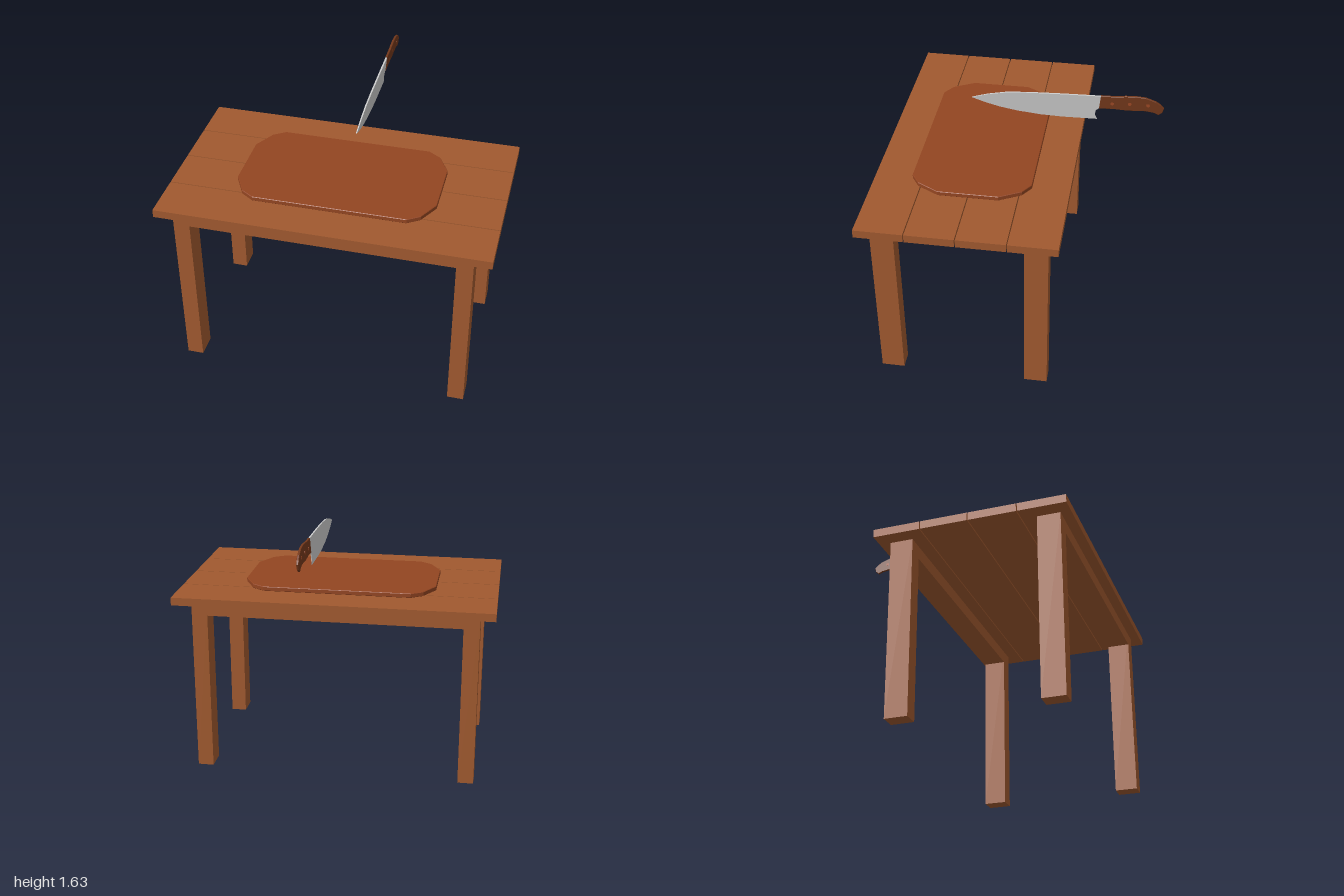
import * as THREE from 'three';

const mat = (color) => new THREE.MeshStandardMaterial({ color, flatShading: true });
const WOOD = mat(0xa0592f), BOARD = mat(0x934521), HANDLE = mat(0x74381b), RIVET = mat(0xa04a26), STEEL = mat(0xcccccc);

function add(parent, name, geometry, material, x = 0, y = 0, z = 0) {
  const mesh = new THREE.Mesh(geometry, material);
  mesh.name = name;
  mesh.position.set(x, y, z);
  parent.add(mesh);
  return mesh;
}

// Extrudes an outline, centred on its thickness
function slab(points, depth, bevel = 0) {
  const shape = new THREE.Shape(points.map(([a, b]) => new THREE.Vector2(a, b)));
  const geometry = new THREE.ExtrudeGeometry(shape, {
    depth: depth - 2 * bevel, bevelEnabled: bevel > 0, bevelSize: bevel,
    bevelThickness: bevel, bevelOffset: -bevel, bevelSegments: 1,
  });
  return geometry.translate(0, 0, -depth / 2 + bevel);
}

function buildTable() {
  const table = new THREE.Group();
  table.name = 'table';
  // Four planks with narrow gaps
  for (let i = 0; i < 4; i++) {
    add(table, 'plank', new THREE.BoxGeometry(2, 0.05, 0.289), WOOD, 0, 1.14, -0.191 + i * 0.295);
  }
  // Legs and the long aprons between them
  for (const z of [-0.196, 0.708]) {
    for (const x of [-0.855, 0.84]) {
      add(table, 'leg', new THREE.BoxGeometry(0.1, 1.115, 0.14), WOOD, x, 0.5575, z);
    }
    add(table, 'apron', new THREE.BoxGeometry(1.595, 0.08, 0.14), WOOD, -0.0075, 1.075, z);
  }
  return table;
}

function buildCuttingBoard() {
  const corner = [[0.61, 0.18], [0.54, 0.31], [0.465, 0.36]];
  const mirrored = corner.map(([x, z]) => [-x, z]).reverse();
  const half = [...corner, ...mirrored];
  const outline = [...half, ...half.map(([x, z]) => [-x, -z])];
  const geometry = slab(outline, 0.028, 0.003).rotateX(-Math.PI / 2);
  const board = new THREE.Group();
  board.name = 'cuttingBoard';
  add(board, 'boardSlab', geometry, BOARD, 0, 1.179, 0.25);
  return board;
}

function buildKnife() {
  const knife = new THREE.Group();
  knife.name = 'knife';
  const pivotY = 1.54;
  // Profiles run from tip to butt, as (-z, y)
  const blade = [
    [-0.31, 1.536], [-0.23, 1.507], [-0.14, 1.482], [-0.03, 1.462], [0.106, 1.448], [0.24, 1.444],
    [0.448, 1.448], [0.434, 1.48], [0.438, 1.511], [0.457, 1.53], [0.47, 1.53], [0.47, 1.617],
    [0.24, 1.611], [0.04, 1.603], [-0.097, 1.592], [-0.21, 1.568],
  ];
  const handle = [
    [0.457, 1.528], [0.534, 1.534], [0.624, 1.53], [0.736, 1.536], [0.782, 1.529], [0.809, 1.516],
    [0.831, 1.534], [0.84, 1.565], [0.82, 1.586], [0.79, 1.607], [0.73, 1.629], [0.665, 1.634],
    [0.61, 1.63], [0.556, 1.622], [0.466, 1.62],
  ];
  const place = (g) => g.translate(0, -pivotY, 0).rotateY(Math.PI / 2);

  // Blade thins evenly from spine to cutting edge
  const bladeGeometry = slab(blade, 0.01);
  const p = bladeGeometry.attributes.position;
  for (let i = 0; i < p.count; i++) {
    p.setZ(i, p.getZ(i) * (0.15 + 0.85 * (p.getY(i) - 1.444) / 0.17));
  }
  bladeGeometry.computeVertexNormals();
  add(knife, 'blade', place(bladeGeometry), STEEL);
  add(knife, 'handle', place(slab(handle, 0.014, 0.002)), HANDLE);

  // Rivets through the handle
  for (const [a, y] of [[0.534, 1.572], [0.637, 1.579], [0.745, 1.579]]) {
    const rivet = new THREE.CylinderGeometry(0.011, 0.011, 0.0155, 12).rotateZ(Math.PI / 2);
    add(knife, 'rivet', rivet, RIVET, 0, y - pivotY, -a);
  }
  knife.position.set(0.097, pivotY, 0);
  knife.rotation.z = -0.065;
  return knife;
}

export function createModel() {
  const model = new THREE.Group();
  model.name = 'tableWithBoardAndKnife';
  model.add(buildTable(), buildCuttingBoard(), buildKnife());
  return model;
}
